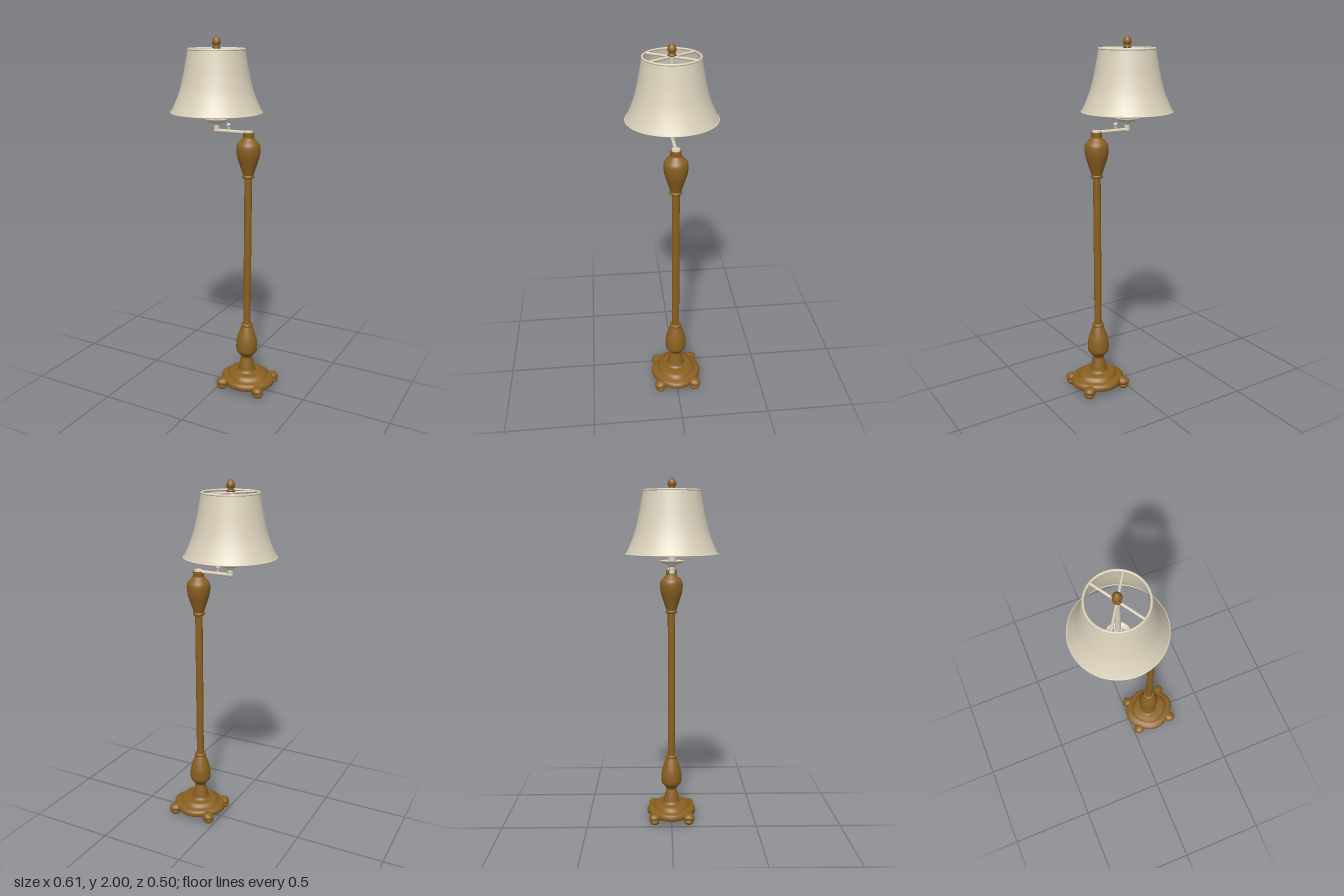
import * as THREE from 'three';

const POST_X = 0.139, SHADE_X = -0.056;

export function createModel() {
  const lamp = new THREE.Group();
  lamp.name = 'floorLamp';
  const bronze = new THREE.MeshStandardMaterial({ color: 0x8a6020 });
  bronze.name = 'bronze';
  const cream = new THREE.MeshStandardMaterial({ color: 0xdcd2bc, side: THREE.DoubleSide });
  cream.name = 'cream';

  const add = (name, geometry, material, x = 0, y = 0, z = 0) => {
    const mesh = new THREE.Mesh(geometry, material);
    mesh.name = name;
    mesh.position.set(x, y, z);
    lamp.add(mesh);
    return mesh;
  };
  const lathe = (points, segments = 48) =>
    new THREE.LatheGeometry(points.map(([r, y]) => new THREE.Vector2(r, y)), segments);
  // Smooth profile drawn through a few points
  const turned = (points, steps = 40) => {
    const curve = new THREE.SplineCurve(points.map(([r, y]) => new THREE.Vector2(r, y)));
    return new THREE.LatheGeometry(curve.getPoints(steps), 48);
  };
  const rod = (name, a, b, radius, material) => {
    const path = new THREE.LineCurve3(new THREE.Vector3(...a), new THREE.Vector3(...b));
    return add(name, new THREE.TubeGeometry(path, 1, radius, 12), material);
  };

  // Base plate: hollow below, gently lobed rim
  const plate = lathe([
    [0, 0.062], [0.1, 0.06], [0.122, 0.05], [0.128, 0.032], [0.142, 0.032],
    [0.15, 0.04], [0.151, 0.055], [0.146, 0.066], [0.134, 0.072], [0.118, 0.074],
    [0.11, 0.08], [0.106, 0.092], [0.092, 0.098], [0.066, 0.1], [0, 0.102],
  ], 72);
  const p = plate.attributes.position;
  for (let i = 0; i < p.count; i++) {
    const x = p.getX(i), z = p.getZ(i);
    const lobe = 1 + 0.025 * Math.cos(4 * Math.atan2(z, x));
    p.setX(i, x * lobe * 1.03);
    p.setZ(i, z * lobe * 0.94);
  }
  plate.computeVertexNormals();
  add('basePlate', plate, bronze, POST_X + 0.008);

  // Four rounded feet on the diagonals
  for (const sx of [-1, 1]) for (const sz of [-1, 1]) {
    const x = POST_X + 0.008 + sx * 0.108, z = sz * 0.098;
    const knuckle = add('footKnuckle', new THREE.SphereGeometry(1, 20, 14), bronze, x, 0.044, z);
    knuckle.scale.set(0.042, 0.026, 0.034);
    knuckle.rotation.y = -sx * sz * Math.PI / 4;
    const pad = add('footPad', new THREE.SphereGeometry(1, 20, 14), bronze, x + sx * 0.006, 0.022, z + sz * 0.004);
    pad.scale.set(0.032, 0.022, 0.03);
  }

  // Turned post, from the flared neck to the upper urn
  add('lowerNeck', turned([
    [0.068, 0.095], [0.05, 0.108], [0.043, 0.135], [0.036, 0.165], [0.031, 0.188], [0.034, 0.2],
  ]), bronze, POST_X);
  add('lowerUrn', turned([
    [0.03, 0.19], [0.04, 0.205], [0.058, 0.228], [0.061, 0.26], [0.057, 0.3],
    [0.044, 0.345], [0.032, 0.378], [0.028, 0.39],
  ]), bronze, POST_X);
  add('shaft', new THREE.CylinderGeometry(0.021, 0.021, 0.88, 32), bronze, POST_X, 0.82);
  for (const y of [0.39, 1.262]) {
    const collar = add('collar', new THREE.TorusGeometry(0.024, 0.01, 12, 40), bronze, POST_X, y);
    collar.rotation.x = Math.PI / 2;
  }
  add('upperUrn', turned([
    [0.025, 1.26], [0.033, 1.285], [0.046, 1.325], [0.06, 1.37], [0.065, 1.41],
    [0.061, 1.438], [0.043, 1.46], [0.031, 1.474],
  ]), bronze, POST_X);
  add('postCap', lathe([[0.03, 1.465], [0.029, 1.49], [0.031, 1.496], [0.029, 1.502], [0, 1.503]]), bronze, POST_X);

  // Swing arm with an elbow and a small switch knob
  add('armPivot', new THREE.CylinderGeometry(0.022, 0.024, 0.014, 24), cream, POST_X, 1.504);
  rod('arm', [POST_X, 1.5, 0], [SHADE_X, 1.5, 0], 0.01, cream);
  add('armElbow', new THREE.SphereGeometry(0.016, 20, 14), cream, SHADE_X, 1.501);
  rod('armRiser', [SHADE_X, 1.5, 0], [SHADE_X, 1.56, 0], 0.015, cream);
  rod('switchStem', [0.018, 1.5, 0], [0.018, 1.53, 0], 0.006, cream);
  add('switchKnob', new THREE.SphereGeometry(0.011, 16, 12), cream, 0.018, 1.534);

  // Open drip dish around the socket
  add('dish', lathe([
    [0.04, 1.545], [0.05, 1.549], [0.063, 1.56], [0.064, 1.566], [0.056, 1.564], [0.043, 1.556], [0.04, 1.545],
  ]), cream, SHADE_X);
  add('dishHub', lathe([[0.014, 1.53], [0.024, 1.538], [0.03, 1.548], [0.028, 1.555], [0.014, 1.557]]), cream, SHADE_X);
  for (let i = 0; i < 4; i++) {
    const a = Math.PI / 4 + i * Math.PI / 2, c = Math.cos(a), s = Math.sin(a);
    rod('dishSpoke', [SHADE_X + 0.02 * c, 1.547, 0.02 * s], [SHADE_X + 0.046 * c, 1.551, 0.046 * s], 0.005, cream);
  }
  add('socket', new THREE.CylinderGeometry(0.021, 0.021, 0.07, 24), cream, SHADE_X, 1.59);
  rod('shadeStem', [SHADE_X, 1.6, 0], [SHADE_X, 1.945, 0], 0.014, cream);

  // Bell shade with edge trims
  add('shade', turned([
    [0.25, 1.597], [0.228, 1.642], [0.201, 1.71], [0.18, 1.79], [0.164, 1.87], [0.153, 1.932],
  ]), cream, SHADE_X);
  for (const [name, r, y, t] of [['shadeTopTrim', 0.15, 1.93, 0.006], ['shadeBottomTrim', 0.248, 1.599, 0.004]]) {
    const trim = add(name, new THREE.TorusGeometry(r, t, 10, 72), cream, SHADE_X, y);
    trim.rotation.x = Math.PI / 2;
  }

  // Spider frame holding the shade
  for (const sx of [-1, 1]) for (const sz of [-1, 1]) {
    rod('shadeSpoke', [SHADE_X, 1.928, 0], [SHADE_X + sx * 0.08, 1.928, sz * 0.126], 0.007, cream);
  }

  // Acorn finial
  add('finial', lathe([
    [0, 1.932], [0.022, 1.934], [0.022, 1.942], [0.013, 1.947], [0.021, 1.956], [0.024, 1.967],
    [0.02, 1.98], [0.011, 1.991], [0.006, 1.997], [0, 2],
  ], 32), bronze, SHADE_X);

  return lamp;
}
